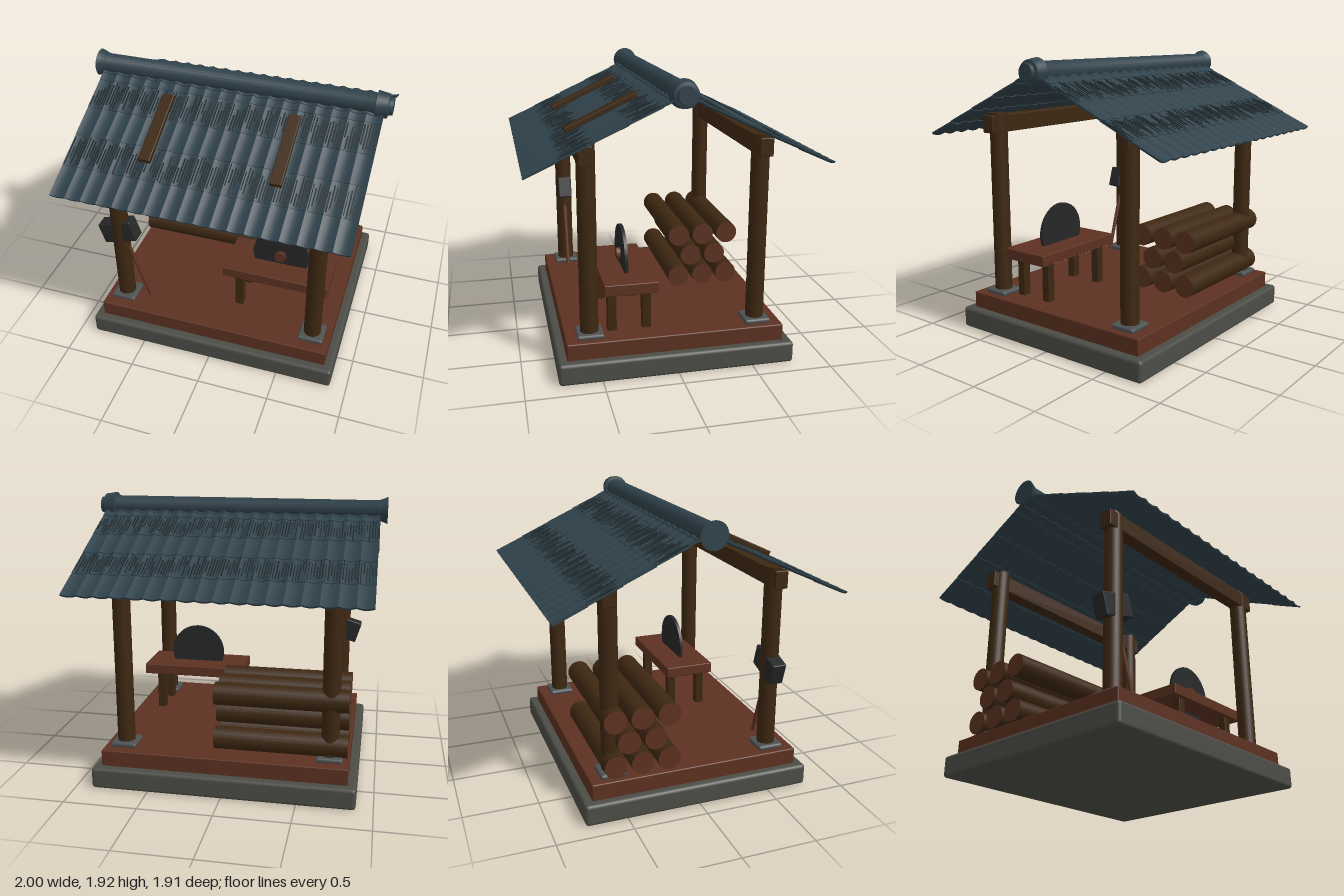
import * as THREE from 'three';
import { mergeGeometries, toCreasedNormals } from 'three/addons/utils/BufferGeometryUtils.js';
import { RoundedBoxGeometry } from 'three/addons/geometries/RoundedBoxGeometry.js';

const mat = (name, color) => {
  const m = new THREE.MeshStandardMaterial({ color });
  m.name = name;
  return m;
};

export function createModel() {
  const model = new THREE.Group();
  model.name = 'workshopShelter';

  const stone = mat('stone', 0x4c4c47);
  const pad = mat('footing stone', 0x4d5152);
  const redWood = mat('red wood', 0x5c3121);
  const darkWood = mat('dark wood', 0x3d2711);
  const iron = mat('iron', 0x262728);
  const tile = mat('roof tile', 0x2f414a);
  const tileDark = mat('weathered tile', 0x1c2629);

  const add = (parent, name, geo, material, x = 0, y = 0, z = 0) => {
    const m = new THREE.Mesh(geo, material);
    m.name = name;
    m.position.set(x, y, z);
    parent.add(m);
    return m;
  };
  const box = (w, h, d, r = 0.006) => new RoundedBoxGeometry(w, h, d, 2, r);

  // Foundation and floor
  add(model, 'foundation', box(1.775, 0.145, 1.56, 0.022), stone, 0, 0.0725, 0);
  add(model, 'floor', box(1.66, 0.13, 1.44, 0.008), redWood, 0, 0.19, 0);

  // Posts on stone footings, with a long beam over each pair
  for (const z of [0.56, -0.56]) {
    for (const x of [0.7, -0.7]) {
      add(model, 'footing', box(0.175, 0.035, 0.175, 0.015), pad, x, 0.268, z);
      add(model, 'post', new THREE.CylinderGeometry(0.06, 0.06, 1.26, 24), darkWood, x, 0.9, z);
    }
    add(model, 'beam', box(1.58, 0.12, 0.09), darkWood, 0, 1.455, z * 1.02);
  }

  // Roof: wavy tile rows on both slopes
  const slope = Math.atan(0.4716), c = Math.cos(slope);
  const width = 1.905, columns = 18, pitch = width / columns;
  const wave = x => 0.004 - 0.012 * Math.abs(Math.sin(Math.PI * (x + width / 2) / pitch));
  const rows = [0, 0.13, 0.335, 0.535, 0.745, 0.95].map(z => z / c);
  let seed = 7;
  const rand = () => (seed = (seed * 16807) % 2147483647) / 2147483647;

  const tileRow = length => {
    const g = new THREE.BoxGeometry(width, 0.012, length, columns * 6, 1, 1);
    const p = g.attributes.position;
    for (let i = 0; i < p.count; i++) {
      const lift = p.getZ(i) > 0 ? 0.003 : -0.001;
      p.setY(i, p.getY(i) + wave(p.getX(i)) + lift);
    }
    g.computeVertexNormals();
    return toCreasedNormals(g, 0.5);
  };

  const roof = new THREE.Group();
  roof.name = 'roof';
  roof.position.y = 1.823;
  model.add(roof);
  for (const side of [0, 1]) {
    const turn = new THREE.Group();
    turn.name = side ? 'backRoof' : 'frontRoof';
    turn.rotation.y = side * Math.PI;
    const face = new THREE.Group();
    face.name = 'roofSlope';
    face.rotation.x = slope;
    turn.add(face);
    roof.add(turn);

    for (let r = 0; r < 5; r++) {
      const a = rows[r], b = rows[r + 1];
      add(face, 'tileRow', tileRow(b - a), tile, 0, 0, (a + b) / 2);
      if (r !== 1 && r !== 3) continue;
      // Weathered streaks on alternate rows
      const streaks = [];
      for (let i = 0; i < columns * 6; i++) {
        const x = -width / 2 + (i + 0.5) * pitch / 6;
        const len = (b - a) * (0.35 + 0.55 * rand());
        const z = a + len / 2 + (b - a - len) * rand();
        const g = new THREE.BoxGeometry(0.005 + 0.005 * rand(), 0.004, len);
        streaks.push(g.translate(x, wave(x) + 0.0085, z));
      }
      add(face, 'tileStreaks', mergeGeometries(streaks), tileDark);
    }

    // Battens lying on the front slope
    if (!side) for (const x of [-0.43, 0.42])
      add(face, 'roofBatten', box(0.08, 0.035, 0.51), darkWood, x, 0.028, 0.453);
  }

  // Ridge with a flared end and a collared cap
  const ridgeProfile = [
    [0, -1], [0.09, -1], [0.067, -0.94], [0.067, 0.89], [0.09, 0.895],
    [0.078, 0.97], [0.058, 0.975], [0.055, 1], [0, 1],
  ].map(([r, y]) => new THREE.Vector2(r, y));
  const ridgeGeo = toCreasedNormals(new THREE.LatheGeometry(ridgeProfile, 24), 0.5);
  add(roof, 'ridge', ridgeGeo, tile, 0, 0.004, 0).rotation.z = -Math.PI / 2;

  // Scalloped saddle tiles beside the ridge
  for (const s of [1, -1]) {
    const pts = [];
    for (let i = 0; i <= columns * 6; i++) {
      const x = -0.95 + 1.9 * i / (columns * 6);
      pts.push(new THREE.Vector3(x, -0.03 + wave(x), s * 0.07));
    }
    const path = new THREE.CatmullRomCurve3(pts);
    add(roof, 'ridgeTrim', new THREE.TubeGeometry(path, columns * 6, 0.012, 6), tile);
  }

  // Saw table
  const table = new THREE.Group();
  table.name = 'sawTable';
  model.add(table);
  add(table, 'tableTop', box(0.75, 0.075, 0.355), redWood, 0.39, 0.568, 0.288);
  for (const x of [0.125, 0.65]) for (const z of [0.405, 0.175])
    add(table, 'tableLeg', box(0.06, 0.29, 0.06), darkWood, x, 0.395, z);
  add(table, 'sawBlade', new THREE.CylinderGeometry(0.2, 0.2, 0.022, 40), iron, 0.39, 0.68, 0.29)
    .rotation.x = Math.PI / 2;
  add(table, 'sawHub', new THREE.CylinderGeometry(0.042, 0.042, 0.03, 8), redWood, 0.39, 0.68, 0.312)
    .rotation.x = Math.PI / 2;

  // Stacked logs with cut ends
  const logs = new THREE.Group();
  logs.name = 'logPile';
  model.add(logs);
  const logGeo = new THREE.CylinderGeometry(0.077, 0.077, 0.89, 24);
  const layers = [
    [0.345, [-0.195, -0.375, -0.555]],
    [0.503, [-0.285, -0.465]],
    [0.658, [-0.195, -0.375, -0.555]],
  ];
  for (const [y, zs] of layers) for (const z of zs)
    add(logs, 'log', logGeo, [darkWood, redWood, redWood], -0.372, y, z).rotation.z = -Math.PI / 2;

  // Mallet leaning on the front right post
  const mallet = new THREE.Group();
  mallet.name = 'mallet';
  mallet.position.set(-0.705, 0.855, 0.56);
  mallet.rotation.z = 0.3;
  model.add(mallet);
  add(mallet, 'malletHead', box(0.25, 0.155, 0.1, 0.008), iron);
  add(mallet, 'malletHandle', new THREE.CylinderGeometry(0.014, 0.014, 0.61, 12), redWood, 0.012, -0.3, 0);

  return model;
}
